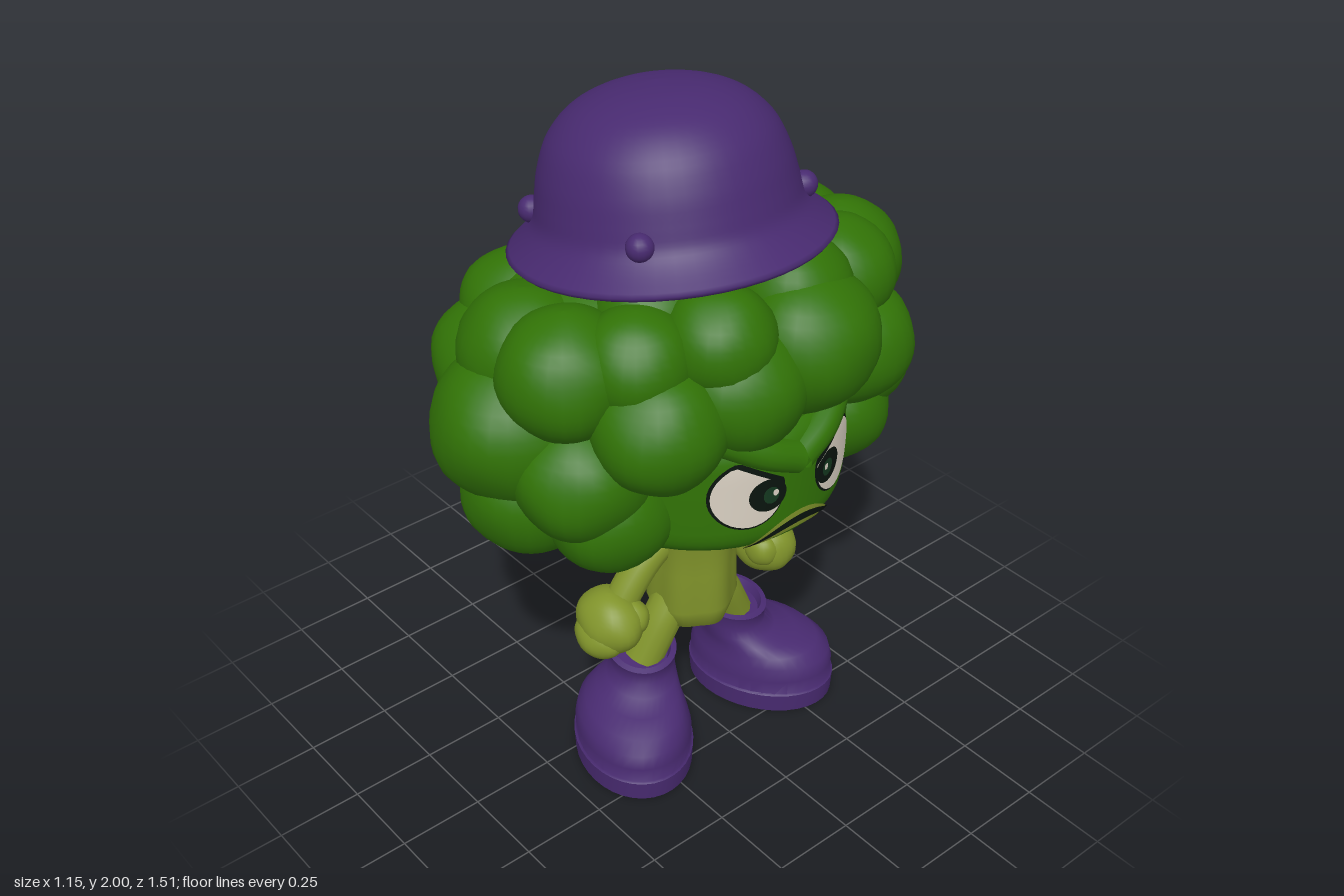
import * as THREE from 'three';
import { mergeGeometries, toCreasedNormals } from 'three/addons/utils/BufferGeometryUtils.js';

const mat = (name, color) => new THREE.MeshStandardMaterial({ name, color, side: THREE.DoubleSide });
const green = mat('floret green', 0x317206);
const olive = mat('stalk olive', 0x81942b);
const purple = mat('boot purple', 0x482a70);
const white = mat('eye white', 0xd9d0c2);
const black = mat('outline black', 0x0a140e);
const iris = mat('iris green', 0x14381f);

const V = (x, y, z) => new THREE.Vector3(x, y, z);

function add(parent, name, geometry, material, pos = [0, 0, 0]) {
  const m = new THREE.Mesh(geometry, material);
  m.name = name;
  m.position.set(...pos);
  parent.add(m);
  return m;
}

// Closed skin over elliptical rings [y, centreX, radiusX, radiusZ, tilt, centreZ]
function loft(rings, n, lobes = 0) {
  const pos = [], idx = [];
  for (const [y, cx, rx, rz, tilt = 0, cz = 0] of rings) {
    for (let i = 0; i < n; i++) {
      const a = (i / n) * Math.PI * 2;
      const k = 1 + lobes * Math.cos(6 * a);
      const x = rx * k * Math.cos(a);
      pos.push(cx + x, y - tilt * x, cz + rz * k * Math.sin(a));
    }
  }
  for (let r = 0; r < rings.length - 1; r++) {
    for (let i = 0; i < n; i++) {
      const a = r * n + i, b = r * n + (i + 1) % n;
      idx.push(a, a + n, b, b, a + n, b + n);
    }
  }
  const g = new THREE.BufferGeometry();
  g.setAttribute('position', new THREE.Float32BufferAttribute(pos, 3));
  g.setIndex(idx);
  g.computeVertexNormals();
  return g;
}

const tube = (pts, r) => new THREE.TubeGeometry(new THREE.CatmullRomCurve3(pts.map(p => V(...p))), 16, r, 14);

// Slightly lumpy ball
function blob(x, y, z, rx, ry = rx, rz = rx) {
  const g = new THREE.SphereGeometry(1, 28, 20);
  const p = g.attributes.position, v = V(0, 0, 0);
  for (let i = 0; i < p.count; i++) {
    v.fromBufferAttribute(p, i);
    const k = 1 + 0.035 * Math.sin(4 * v.x + 9 * x) * Math.sin(4 * v.y + 7 * z) * Math.cos(4 * v.z + 5 * y);
    p.setXYZ(i, x + v.x * k * rx, y + v.y * k * ry, z + v.z * k * rz);
  }
  g.computeVertexNormals();
  return g;
}

// Boxy face bulge; faceX gives its surface for the painted features
const F = { x: 0.05, y: 1.055, rx: 0.45, ry: 0.235, rz: 0.42, power: 6 };
const faceX = (z, y) => F.x + F.rx * Math.sqrt(Math.max(0,
  1 - Math.abs((y - F.y) / F.ry) ** F.power - (z / F.rz) ** 2));

function faceBulge() {
  const g = new THREE.SphereGeometry(1, 48, 48);
  const p = g.attributes.position;
  for (let i = 0; i < p.count; i++) {
    const s = p.getY(i);
    const y = F.y + F.ry * Math.sign(s) * Math.abs(s) ** (2 / F.power);
    p.setXYZ(i, F.x + F.rx * p.getX(i), y, F.rz * p.getZ(i));
  }
  g.computeVertexNormals();
  return g;
}

// Painted patch on the face: fn maps (u, v) to [z, y]
function patch(parent, name, material, lift, fn) {
  const g = new THREE.PlaneGeometry(1, 1, 36, 6);
  const p = g.attributes.position, uv = g.attributes.uv;
  for (let i = 0; i < p.count; i++) {
    const [z, y] = fn(uv.getX(i), uv.getY(i));
    p.setXYZ(i, faceX(z, y) + lift, y, z);
  }
  g.computeVertexNormals();
  add(parent, name, g, material);
}

// Disc cut off along the slanted brow line
const disc = (side, cz, cy, rz, ry, rise = 0) => (u, v) => {
  const a = u * Math.PI * 2;
  const z = cz + rz * Math.cos(a), y = cy + ry * Math.sin(a);
  const top = Math.min(y, 1.085 + rise + 0.6 * (z - 0.05));
  return [side * (cz + (z - cz) * v), cy + (top - cy) * v];
};

// Downturned band that thins toward its ends
const arc = (half, peak, drop, thick) => (u, v) => {
  const t = u * 2 - 1;
  return [t * half, peak - drop * t * t - v * thick * (1 - 0.7 * t * t)];
};

function makeHead() {
  const head = new THREE.Group();
  head.name = 'head';
  // Florets over the face, uneven: x, y, z, radius
  const frontFlorets = [
    [0.37, 1.4, -0.12, 0.2], [0.35, 1.34, 0.1, 0.19], [0.34, 1.48, 0.15, 0.15],
    [0.32, 1.29, 0.33, 0.18], [0.25, 1.45, 0.34, 0.15], [0.3, 1.27, -0.36, 0.18],
    [0.25, 1.46, -0.35, 0.16], [0.3, 1.5, -0.14, 0.16], [0.16, 1.5, 0.22, 0.15],
  ];
  // Florets of one half, mirrored to the other
  const sideFlorets = [
    [0.13, 1.41, 0.47, 0.18], [-0.02, 1.22, 0.53, 0.22], [0.18, 1.13, 0.47, 0.18],
    [0.2, 1.0, 0.4, 0.17], [0, 1.02, 0.5, 0.19], [-0.2, 1.06, 0.43, 0.19],
    [-0.1, 0.94, 0.3, 0.16], [-0.05, 1.4, 0.46, 0.18], [-0.25, 1.26, 0.4, 0.19],
    [-0.37, 1.23, 0.14, 0.21], [-0.35, 1.04, 0.17, 0.19], [-0.19, 0.95, 0.12, 0.17],
    [-0.26, 1.38, 0.32, 0.17], [-0.33, 1.38, 0.11, 0.18],
  ];
  const mirrored = sideFlorets.map(([x, y, z, r]) => [x, y, -z, r]);
  const parts = [...frontFlorets, ...sideFlorets, ...mirrored]
    .map(([x, y, z, r]) => blob(x, y, z, r, r * 0.98, r * 1.02));
  parts.push(blob(-0.01, 1.26, 0, 0.47, 0.38, 0.62));
  add(head, 'florets', mergeGeometries(parts), green);
  add(head, 'face', faceBulge(), green);

  for (const s of [1, -1]) {
    add(head, 'brow', tube([[0.485, 1.14, 0], [0.465, 1.185, s * 0.1], [0.385, 1.265, s * 0.24]], 0.047), green);
    patch(head, 'eyeOutline', black, 0.004, disc(s, 0.152, 1.075, 0.099, 0.107, 0.017));
    patch(head, 'eyeWhite', white, 0.007, disc(s, 0.152, 1.075, 0.093, 0.1));
    patch(head, 'irisRim', black, 0.01, disc(s, 0.106, 1.068, 0.052, 0.05, 0.004));
    patch(head, 'iris', iris, 0.013, disc(s, 0.1, 1.068, 0.022, 0.026));
    patch(head, 'glint', white, 0.016, disc(s, 0.09, 1.076, 0.008, 0.01));
  }
  patch(head, 'lip', olive, 0.005, arc(0.148, 0.98, 0.085, 0.06));
  patch(head, 'mouth', black, 0.009, arc(0.152, 0.966, 0.072, 0.024));
  return head;
}

function makeHelmet() {
  const helmet = new THREE.Group();
  helmet.name = 'helmet';
  const points = list => list.map(p => new THREE.Vector2(...p));
  const inner = points([[0, 0.37], [0.2, 0.32], [0.3, 0.16], [0.33, 0.03], [0.43, -0.012]]);
  const outer = points([[0.44, 0], [0.39, 0.045], [0.36, 0.085], [0.347, 0.14], [0.33, 0.215],
    [0.295, 0.295], [0.225, 0.362], [0.12, 0.402], [0, 0.415]]);
  const profile = [...inner, ...new THREE.SplineCurve(outer).getPoints(32)];
  add(helmet, 'helmetShell', new THREE.LatheGeometry(profile, 48), purple);
  for (const x of [-0.23, 0.225]) {
    for (const z of [-0.275, 0.275]) {
      add(helmet, 'rivet', new THREE.SphereGeometry(0.037, 16, 12), purple, [x, 0.1, z]);
    }
  }
  helmet.position.set(-0.02, 1.587, 0);
  helmet.rotation.z = 0.15;
  return helmet;
}

function makeBoot(s) {
  const c = -s * 0.05; // the shaft sits toward the inner side of the foot
  const rings = [
    [0, 0, 0, 0], [0, 0, 0.229, 0.17], [0.06, 0, 0.233, 0.173], [0.065, 0, 0.227, 0.167],
    [0.11, 0, 0.227, 0.168], [0.15, 0, 0.217, 0.159], [0.18, -0.01, 0.19, 0.143, 0, c * 0.15],
    [0.205, -0.035, 0.15, 0.122, 0.05, c * 0.5], [0.23, -0.062, 0.115, 0.104, 0.1, c * 0.85],
    [0.26, -0.077, 0.1, 0.095, 0.15, c], [0.3, -0.079, 0.102, 0.098, 0.2, c],
    [0.313, -0.079, 0.106, 0.102, 0.2, c], [0.317, -0.079, 0.09, 0.086, 0.2, c],
    [0.29, -0.079, 0.08, 0.075, 0.2, c], [0.29, -0.079, 0, 0, 0, c],
  ];
  const boot = new THREE.Mesh(toCreasedNormals(loft(rings, 36), 0.9), purple);
  boot.name = s > 0 ? 'rightBoot' : 'leftBoot';
  boot.position.set(0.105, 0, s * 0.255);
  boot.rotation.y = -s * 0.42;
  return boot;
}

export function createModel() {
  const model = new THREE.Group();
  model.name = 'broccoliSoldier';
  model.add(makeHead(), makeHelmet());

  // Fluted stalk
  const stalk = [
    [0.36, 0.07, 0, 0], [0.365, 0.07, 0.07, 0.06], [0.39, 0.07, 0.115, 0.11],
    [0.45, 0.07, 0.13, 0.13], [0.58, 0.07, 0.128, 0.125], [0.7, 0.072, 0.132, 0.136],
    [0.8, 0.075, 0.15, 0.16], [0.9, 0.08, 0.18, 0.195],
  ];
  add(model, 'stalk', loft(stalk, 48, 0.04), olive);

  for (const s of [1, -1]) {
    const side = s > 0 ? 'right' : 'left';
    add(model, side + 'Arm', tube([[0.07, 0.695, s * 0.09], [0.065, 0.645, s * 0.16],
      [0.06, 0.575, s * 0.22], [0.055, 0.49, s * 0.275]], 0.05), olive);
    const hand = mergeGeometries([
      blob(0.055, 0.475, s * 0.295, 0.112, 0.095, 0.09),
      blob(0.055, 0.44, s * 0.33, 0.085, 0.068, 0.068),
      blob(0.1, 0.49, s * 0.25, 0.055, 0.055, 0.048),
    ]);
    add(model, side + 'Hand', hand, olive);
    add(model, side + 'Leg', tube([[0.07, 0.46, s * 0.07], [0.068, 0.39, s * 0.115],
      [0.055, 0.27, s * 0.175]], 0.06), olive);
    model.add(makeBoot(s));
  }
  return model;
}
